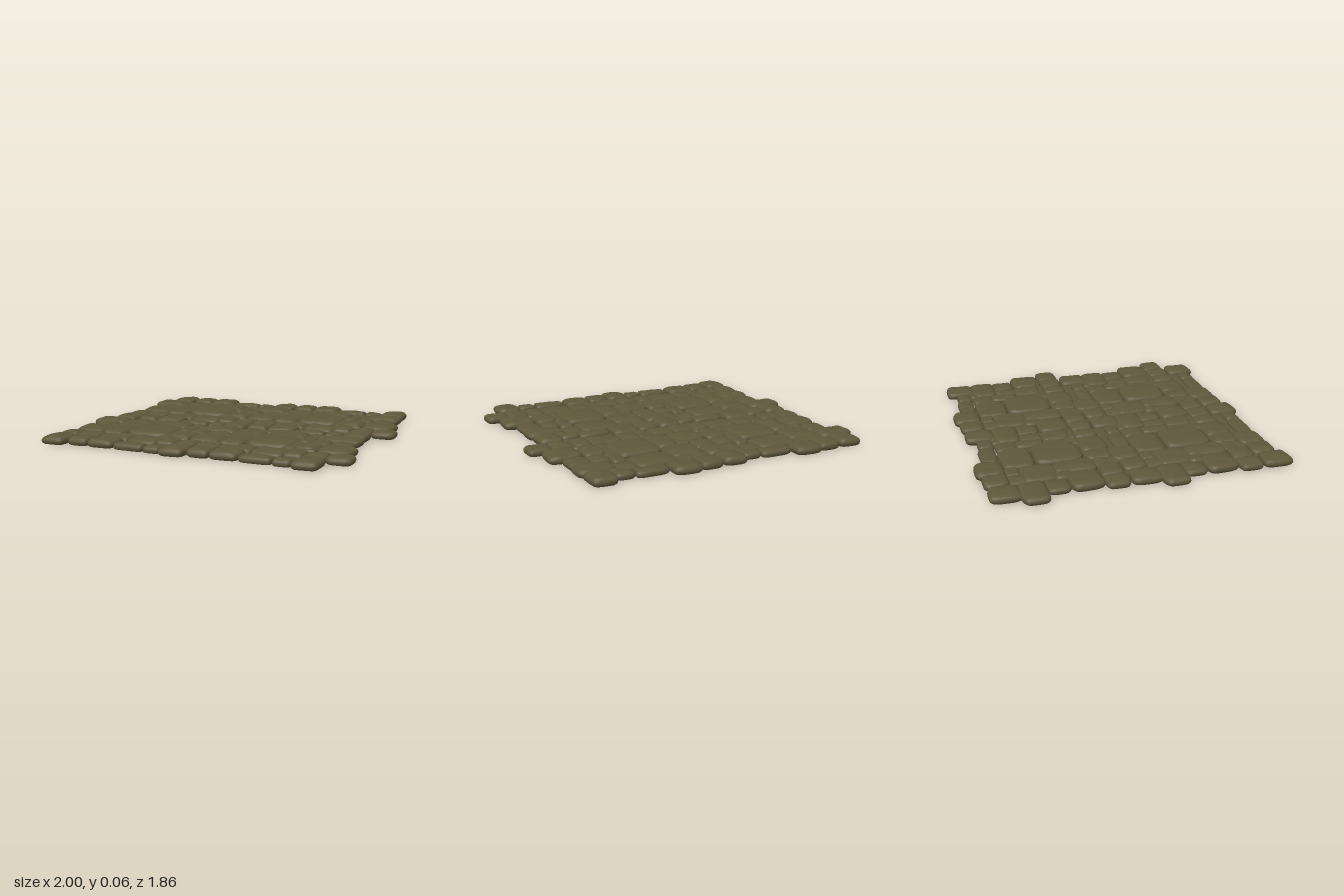
import * as THREE from 'three';

const PERIOD_X = 0.823, PERIOD_Z = 0.825; // the paving repeats at this spacing
const SIDES = 40;

// Stones of one tile by row: [left, right, back, front]
const ROWS = {
  edge: [
    [-0.935, -0.77, -0.91, -0.72], [-0.768, -0.618, -0.915, -0.76], [-0.625, -0.44, -0.935, -0.76],
    [-0.438, -0.228, -0.87, -0.762], [-0.228, -0.113, -0.855, -0.757],
  ],
  large: [
    [-1, -0.755, -0.74, -0.57], [-0.76, -0.64, -0.77, -0.64], [-0.655, -0.535, -0.765, -0.675],
    [-0.765, -0.545, -0.69, -0.465], [-0.558, -0.283, -0.765, -0.56], [-0.297, -0.158, -0.76, -0.62],
    [-0.18, -0.05, -0.765, -0.7],
  ],
  small: [
    [-0.91, -0.762, -0.58, -0.435], [-0.56, -0.263, -0.565, -0.265], [-0.285, -0.188, -0.63, -0.45],
    [-0.202, -0.082, -0.59, -0.44], [-0.775, -0.675, -0.5, -0.385],
  ],
  broad: [
    [-0.915, -0.7, -0.44, -0.235], [-0.705, -0.545, -0.485, -0.222], [-0.238, -0.092, -0.455, -0.268],
    [-0.315, -0.218, -0.335, -0.228], [-0.285, -0.215, -0.465, -0.315], [-0.23, -0.085, -0.29, -0.232],
  ],
  long: [
    [-0.935, -0.79, -0.24, -0.088], [-0.8, -0.645, -0.235, -0.088], [-0.66, -0.545, -0.235, -0.138],
    [-0.652, -0.555, -0.155, -0.075], [-0.567, -0.423, -0.26, -0.09], [-0.437, -0.222, -0.257, -0.078],
    [-0.232, -0.108, -0.242, -0.088],
  ],
};

// Section of a stone, from the middle of its underside to its crown: [inset, height fraction]
const SECTION = [
  [1, 0], [0.28, 0], [0.28, 0], [0.1, 0.14], [0, 0.38], [0.03, 0.6], [0.14, 0.76], [0.34, 0.88], [0.62, 0.95],
];
const CROWN = [[0.62, 0.98], [0.3, 1], [0, 1]]; // [scale of last ring, height fraction]

function seeded(seed) {
  let s = seed * 7919 + 13;
  return () => (s = (s * 16807) % 2147483647) / 2147483647;
}

// Rounded, slightly irregular cobble centred on its own origin
function stoneGeometry(width, depth, seed) {
  const rand = seeded(seed);
  for (let i = 0; i < 5; i++) rand();
  const a = width / 2, b = depth / 2;
  const bevel = Math.min(0.05, Math.min(a, b) * 0.6);
  const height = 0.04 + 0.012 * rand() + (Math.min(a, b) > 0.07 ? 0.004 : -0.004);
  const [p, q, u, v] = [rand(), rand(), rand(), rand()].map((n) => n * Math.PI * 2);
  const tiltX = (rand() - 0.5) * 0.05, tiltZ = (rand() - 0.5) * 0.05;
  const positions = [], index = [];

  const ring = (rx, rz, fraction) => {
    for (let i = 0; i < SIDES; i++) {
      const t = (i / SIDES) * Math.PI * 2, c = Math.cos(t), s = Math.sin(t);
      const wobble = 0.985 + 0.022 * Math.sin(3 * t + p) + 0.014 * Math.sin(5 * t + q);
      const x = Math.sign(c) * Math.abs(c) ** 0.46 * rx * wobble;
      const z = Math.sign(s) * Math.abs(s) ** 0.46 * rz * wobble;
      const bump = 0.0016 * (Math.sin(x * 55 + z * 18 + u) + Math.sin(z * 48 - x * 25 + v));
      positions.push(x, fraction * (height + x * tiltX + z * tiltZ + bump * fraction), z);
    }
  };

  for (const [inset, y] of SECTION) {
    const d = inset * bevel;
    if (inset === 1) ring(0, 0, y);
    else ring(a - d, b - d, y);
  }
  const d = 0.62 * bevel;
  for (const [scale, y] of CROWN) ring((a - d) * scale, (b - d) * scale, y);

  const rings = SECTION.length + CROWN.length;
  for (let r = 0; r < rings - 1; r++) {
    if (r === 1) continue; // doubled ring keeps the underside edge sharp
    for (let i = 0; i < SIDES; i++) {
      const j = (i + 1) % SIDES, lo = r * SIDES, hi = lo + SIDES;
      if (r > 0) index.push(lo + i, hi + i, lo + j);
      if (r < rings - 2) index.push(lo + j, hi + i, hi + j);
    }
  }
  const geometry = new THREE.BufferGeometry();
  geometry.setAttribute('position', new THREE.Float32BufferAttribute(positions, 3));
  geometry.setIndex(index);
  geometry.computeVertexNormals();
  return geometry;
}

export function createModel() {
  const model = new THREE.Group();
  model.name = 'cobblestonePaving';
  const stone = new THREE.MeshStandardMaterial({ color: 0x5f573b });
  stone.name = 'olive stone';

  let seed = 1;
  for (const [rowName, boxes] of Object.entries(ROWS)) {
    const row = new THREE.Group();
    row.name = rowName + 'StoneRows';
    model.add(row);
    for (const [left, right, back, front] of boxes) {
      const geometry = stoneGeometry(right - left, front - back, seed++);
      // Stones at the left of a tile also close the right side; edge stones also close the front
      const columns = left < -0.78 || (rowName === 'long' && left < -0.7) ? 3 : 2;
      const lines = rowName === 'edge' ? 3 : 2;
      for (let i = 0; i < columns; i++) {
        for (let k = 0; k < lines; k++) {
          const mesh = new THREE.Mesh(geometry, stone);
          mesh.name = rowName + 'Stone';
          mesh.position.set((left + right) / 2 + i * PERIOD_X, 0, (back + front) / 2 + k * PERIOD_Z);
          row.add(mesh);
        }
      }
    }
  }

  // Low bed that closes the joints between the stones
  const bed = new THREE.Mesh(new THREE.BoxGeometry(1.7, 0.008, 1.57), stone);
  bed.name = 'jointBed';
  bed.position.set(-0.03, 0.016, 0.05);
  model.add(bed);
  return model;
}
